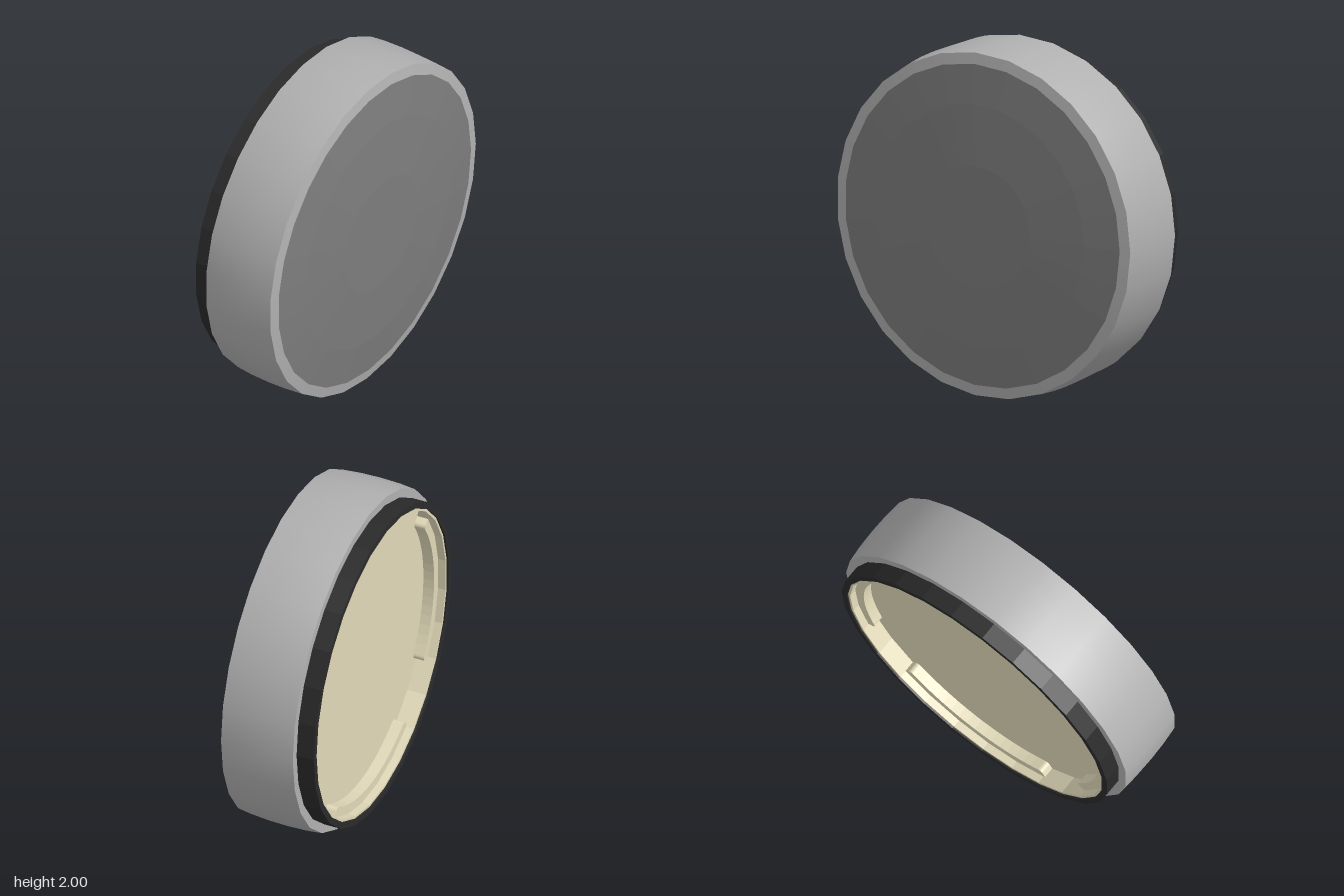
import * as THREE from 'three';

const SIDES = 27;
const grey = new THREE.MeshStandardMaterial({ color: 0xb0b0b0 });
const faceGrey = new THREE.MeshStandardMaterial({ color: 0x7c7c7c, flatShading: true });
const black = new THREE.MeshStandardMaterial({ color: 0x2a2a2a, flatShading: true });
const tan = new THREE.MeshStandardMaterial({ color: 0xe0d8b8, flatShading: true });

// Revolve [radius, z] pairs about the z axis; rising z faces outward
function revolve(name, profile, material) {
  const points = profile.map(([r, z]) => new THREE.Vector2(r, z));
  const geometry = new THREE.LatheGeometry(points, SIDES, Math.PI / 2);
  geometry.rotateX(Math.PI / 2);
  const mesh = new THREE.Mesh(geometry, material);
  mesh.name = name;
  return mesh;
}

// Curved rib outline with rounded inner corners, centred on angle 0
function ribShape(inner, outer, half, corner) {
  const at = (r, a) => [r * Math.cos(a), r * Math.sin(a)];
  const trim = corner / inner;
  const shape = new THREE.Shape();
  shape.moveTo(...at(outer, -half));
  shape.absarc(0, 0, outer, -half, half, false);
  shape.lineTo(...at(inner + corner, half));
  shape.quadraticCurveTo(...at(inner, half), ...at(inner, half - trim));
  shape.absarc(0, 0, inner, half - trim, -half + trim, true);
  shape.quadraticCurveTo(...at(inner, -half), ...at(inner + corner, -half));
  shape.closePath();
  return shape;
}

export function createModel() {
  const model = new THREE.Group();
  model.name = 'roundCap';
  const disc = new THREE.Group();
  disc.name = 'disc';
  disc.position.y = 1;
  model.add(disc);

  // Bulging outer band, front bezel and flat back shoulder
  disc.add(
    revolve('outerBand', [[0.988, -0.195], [0.997, -0.1], [1, 0.02], [0.997, 0.13], [0.988, 0.24]], grey),
    revolve('frontBezel', [[0.988, 0.24], [0.925, 0.252]], grey),
    revolve('backShoulder', [[0.9, -0.195], [0.988, -0.195]], grey)
  );

  // Shallow domed face with a flat centre
  disc.add(revolve('domedFace', [[0.925, 0.252], [0.7, 0.277], [0.35, 0.298], [0, 0.3]], faceGrey));

  // Dark ring standing out of the back
  disc.add(revolve('backRing', [[0.9, -0.2], [0.9, -0.3], [0.937, -0.3], [0.937, -0.195]], black));

  // Recessed pan inside the ring
  disc.add(revolve('backPan', [[0, -0.18], [0.885, -0.18], [0.885, -0.29], [0.9, -0.29]], tan));

  // Four curved ribs around the pan wall, one gap narrower than the rest
  const ribGeometry = new THREE.ExtrudeGeometry(ribShape(0.825, 0.885, 0.59, 0.03), {
    depth: 0.065, bevelEnabled: false, curveSegments: 8
  });
  [7.5, 100.5, 181, 273].forEach((degrees, i) => {
    const rib = new THREE.Mesh(ribGeometry, tan);
    rib.name = 'panRib' + (i + 1);
    rib.position.z = -0.245;
    rib.rotation.z = THREE.MathUtils.degToRad(degrees);
    disc.add(rib);
  });
  return model;
}
